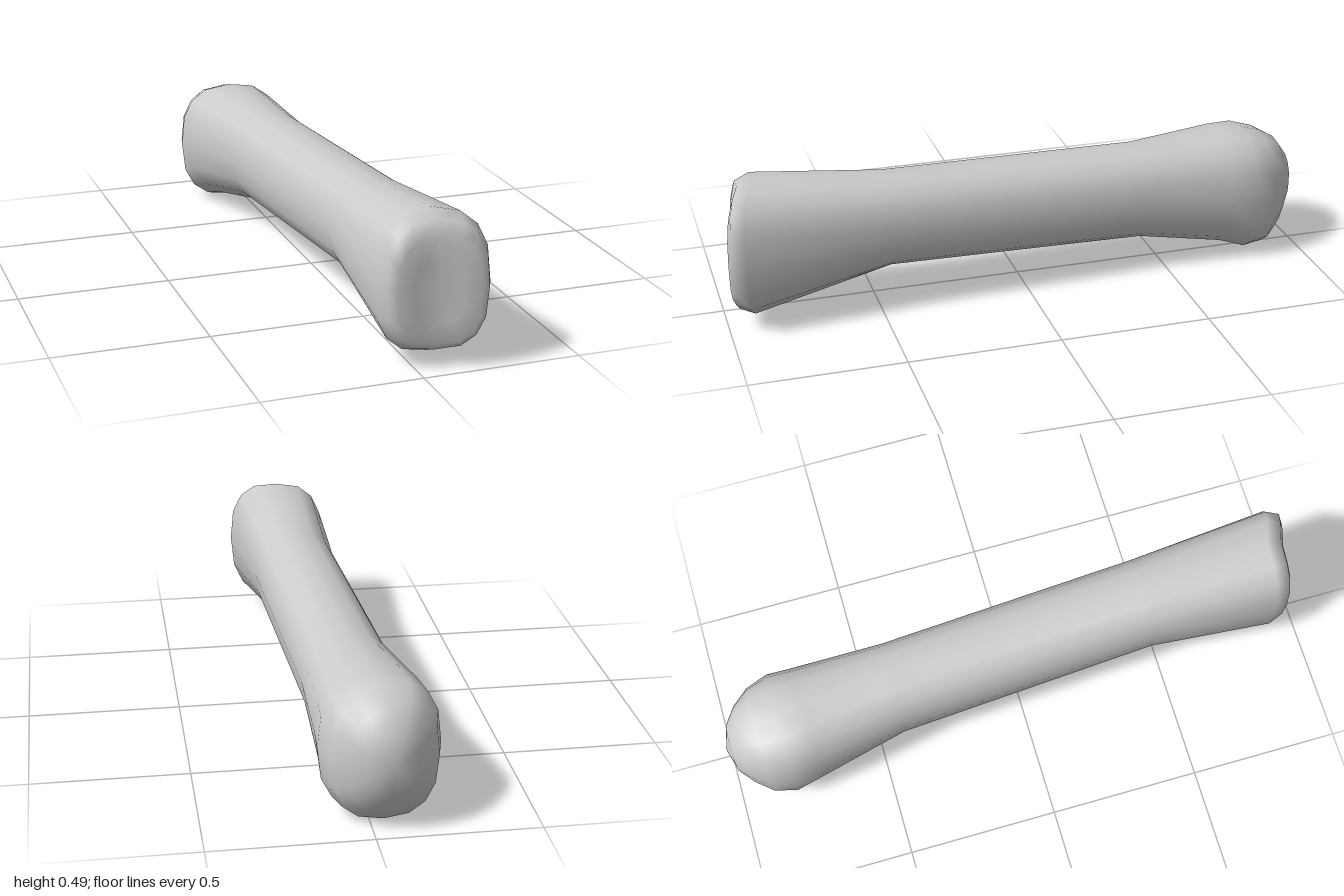
import * as THREE from 'three';

const SIDES = 16;

// Cross-sections from front to back: z, centre x, centre y, half width, half height, squareness
const SECTIONS = [
  [0.95, 0.06, 0.25, 0.075, 0.10, 2.6],
  [0.95, 0.06, 0.25, 0.125, 0.165, 2.7],
  [0.935, 0.057, 0.265, 0.15, 0.203, 2.7],
  [0.885, 0.057, 0.265, 0.17, 0.225, 2.6],
  [0.46, 0.043, 0.292, 0.143, 0.153, 2.3],
  [-0.42, -0.005, 0.26, 0.145, 0.16, 2.3],
  [-0.72, -0.035, 0.235, 0.178, 0.2, 2.4],
  [-0.81, -0.04, 0.218, 0.186, 0.213, 2.6],
  [-0.885, -0.042, 0.21, 0.165, 0.2, 2.5],
  [-0.94, -0.045, 0.22, 0.122, 0.158, 2.4],
  [-0.98, -0.05, 0.228, 0.075, 0.095, 2.2],
];

// The front end juts forward along its left edge
const frontTilt = (x, z) => (z > 0.8 ? 0.05 * Math.max(0, (x - 0.05) / 0.15) : 0);

function boneGeometry() {
  const positions = [];
  const indices = [];
  const power = (v, e) => Math.sign(v) * Math.pow(Math.abs(v), 2 / e);

  for (const [z, cx, cy, rx, ry, e] of SECTIONS) {
    for (let j = 0; j < SIDES; j++) {
      const t = (j / SIDES) * Math.PI * 2;
      const x = cx + rx * power(Math.cos(t), e);
      const y = cy + ry * power(Math.sin(t), e);
      positions.push(x, y, z + frontTilt(x, z));
    }
  }
  // Centres of the two ends
  const front = positions.length / 3;
  positions.push(0.06, 0.25, 0.95);
  const back = front + 1;
  positions.push(-0.055, 0.235, -1);

  const last = (SECTIONS.length - 1) * SIDES;
  for (let j = 0; j < SIDES; j++) {
    const k = (j + 1) % SIDES;
    indices.push(front, j, k, back, last + k, last + j);
    for (let r = 0; r < last; r += SIDES) {
      const a = r + j, b = r + k;
      indices.push(a, a + SIDES, b, b, a + SIDES, b + SIDES);
    }
  }

  const geometry = new THREE.BufferGeometry();
  geometry.setAttribute('position', new THREE.Float32BufferAttribute(positions, 3));
  geometry.setIndex(indices);
  geometry.computeVertexNormals();
  return geometry;
}

export function createModel() {
  const group = new THREE.Group();
  group.name = 'boneModel';
  const bone = new THREE.Mesh(boneGeometry(), new THREE.MeshStandardMaterial({ color: 0xcccccc }));
  bone.name = 'bone';
  group.add(bone);
  return group;
}
